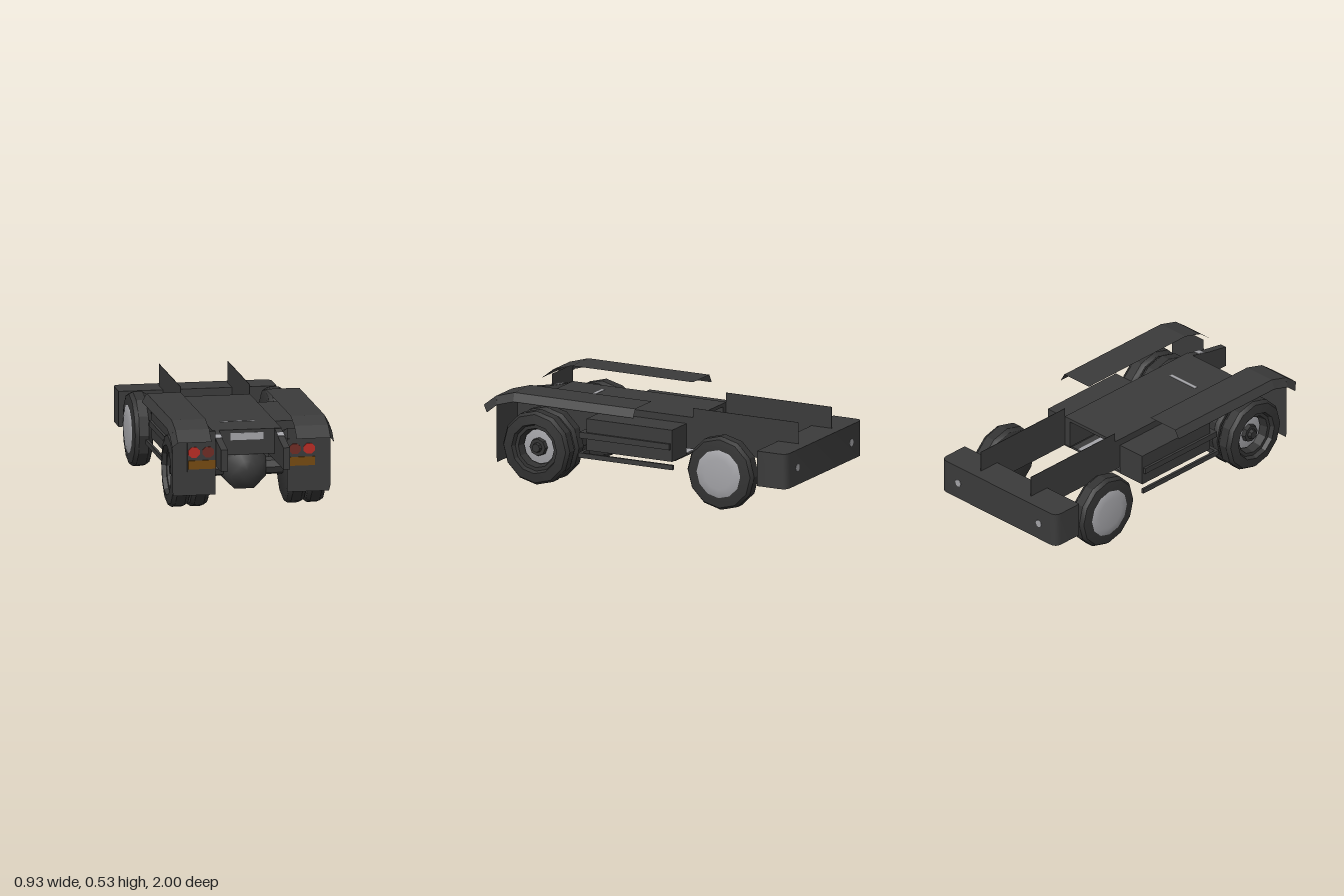
import * as THREE from 'three';
import { toCreasedNormals } from 'three/addons/utils/BufferGeometryUtils.js';

const mat = (name, color, side = THREE.FrontSide) => {
  const m = new THREE.MeshStandardMaterial({ color, side });
  m.name = name;
  return m;
};

export function createModel() {
  const body = mat('dark grey body', 0x3b3b3b);
  const sheet = mat('dark grey sheet', 0x3b3b3b, THREE.DoubleSide);
  const rubber = mat('tyre rubber', 0x333333);
  const metal = mat('light metal', 0xa4a4a8);
  const red = mat('red lamp', 0xb82c24);
  const dimRed = mat('dim red lamp', 0x6e2c24);
  const amber = mat('amber lamp', 0x75490f);

  const model = new THREE.Group();
  model.name = 'truckChassis';

  const add = (parent, name, geo, material, x = 0, y = 0, z = 0) => {
    const m = new THREE.Mesh(geo, material);
    m.name = name;
    m.position.set(x, y, z);
    parent.add(m);
    return m;
  };
  // box given by its limits
  const box = (parent, name, material, x0, x1, y0, y1, z0, z1) =>
    add(parent, name, new THREE.BoxGeometry(x1 - x0, y1 - y0, z1 - z0), material,
      (x0 + x1) / 2, (y0 + y1) / 2, (z0 + z1) / 2);
  // lathe around the x axis; profile pairs are [radius, x] going outwards
  const turned = (profile, sides) => {
    const g = new THREE.LatheGeometry(profile.map(p => new THREE.Vector2(...p)), sides);
    g.rotateZ(-Math.PI / 2);
    return toCreasedNormals(g, 0.45);
  };
  // side profile in [z, y] extruded across x0..x1
  const sideProfile = (points, x0, x1) => {
    const s = new THREE.Shape(points.map(([z, y]) => new THREE.Vector2(-z, y)));
    const g = new THREE.ExtrudeGeometry(s, { depth: x1 - x0, bevelEnabled: false });
    g.rotateY(Math.PI / 2);
    g.translate(x0, 0, 0);
    return g;
  };

  // deck, floor and rear cross panels
  box(model, 'deck', body, -0.2, 0.2, 0.435, 0.455, -0.26, 0.73);
  box(model, 'underFloor', body, -0.3, 0.3, 0.215, 0.228, -0.2, 0.35);
  box(model, 'floorLining', metal, -0.155, 0.155, 0.228, 0.232, -0.2, 0.34);
  box(model, 'rearPanel', body, -0.16, 0.16, 0.31, 0.45, 0.69, 0.73);
  box(model, 'rearCrossMember', body, -0.16, 0.16, 0.17, 0.31, 0.5, 0.53);
  box(model, 'rearPlate', metal, -0.095, 0.095, 0.395, 0.436, 0.73, 0.733);
  box(model, 'deckStrip', metal, -0.11, 0.09, 0.455, 0.457, 0.475, 0.495);

  // rear axle with its round housing
  add(model, 'axle', turned([[0, -0.3], [0.05, -0.3], [0.05, 0.3], [0, 0.3]], 8), body, 0, 0.22, 0.62);
  const housing = new THREE.SphereGeometry(0.14, 8, 8);
  housing.rotateX(Math.PI / 2);
  housing.rotateZ(Math.PI / 8);
  add(model, 'axleHousing', housing, body, 0, 0.222, 0.62);

  // bumper with rounded front corners
  const w = 0.455, r = 0.045;
  const plan = new THREE.Shape();
  plan.moveTo(-w, -0.81);
  plan.lineTo(-w, -1 + r);
  plan.quadraticCurveTo(-w, -1, -w + r, -1);
  plan.lineTo(w - r, -1);
  plan.quadraticCurveTo(w, -1, w, -1 + r);
  plan.lineTo(w, -0.81);
  const bumper = new THREE.ExtrudeGeometry(plan, { depth: 0.205, bevelEnabled: false, curveSegments: 4 });
  bumper.rotateX(Math.PI / 2);
  add(model, 'bumper', toCreasedNormals(bumper, 0.6), body, 0, 0.385, 0);

  // wheel profiles
  const tyre = [[0, 0], [0.18, 0], [0.2, 0.008], [0.215, 0.03], [0.215, 0.085], [0.2, 0.107],
    [0.145, 0.115]];
  const frontTyre = turned([...tyre, [0, 0.11]], 12);
  const innerTyre = turned([...tyre, [0, 0.115]], 12);
  const outerTyre = turned([...tyre, [0.135, 0.09], [0.115, 0.09], [0.105, 0.04], [0, 0.04]], 12);
  const hubCap = turned([[0.146, 0.112], [0.135, 0.118], [0.09, 0.124], [0, 0.126]], 12);
  const rimDisc = turned([[0.1, 0.043], [0.06, 0.05], [0, 0.05]], 12);
  const hub = turned([[0.055, 0.045], [0.05, 0.075], [0.03, 0.075], [0.025, 0.095], [0, 0.095]], 8);

  // fender: bent cross-section swept along the top line
  const path = [[-0.02, 0.53, 0, 1], [0.76, 0.53, 0.12, 0.99], [0.88, 0.495, 0.4, 0.9], [0.957, 0.435, 0.7, 0.7]];
  const section = [[0.245, 0], [0.44, 0], [0.466, 0.045], [0.466, 0.05]];
  const pos = [], idx = [], n = section.length;
  path.forEach(([z, y, nz, ny], i) => section.forEach(([x, d], j) => {
    pos.push(x, y - ny * d, z - nz * d);
    if (i && j) {
      const a = (i - 1) * n + j - 1, b = i * n + j - 1;
      idx.push(a, b, a + 1, b, b + 1, a + 1);
    }
  }));
  let fender = new THREE.BufferGeometry();
  fender.setAttribute('position', new THREE.Float32BufferAttribute(pos, 3));
  fender.setIndex(idx);
  fender = fender.toNonIndexed();
  fender.computeVertexNormals();

  // mud flap outline
  const flap = new THREE.ShapeGeometry(new THREE.Shape([[0.205, 0.112], [0.448, 0.112], [0.455, 0.14],
    [0.455, 0.48], [0.205, 0.48]].map(p => new THREE.Vector2(...p))));

  for (const s of [1, -1]) {
    const side = new THREE.Group();
    side.name = s > 0 ? 'leftSide' : 'rightSide';
    side.scale.x = s;
    model.add(side);

    // frame rail and thin front frame plate
    add(side, 'frameRail', sideProfile([[1, 0.27], [1, 0.395], [0.86, 0.42], [0.73, 0.453], [-0.26, 0.453],
      [-0.26, 0.27]], 0.16, 0.199), body);
    box(side, 'frontFramePlate', body, 0.197, 0.2, 0.27, 0.51, -0.94, -0.26);
    const patch = box(side, 'railPatch', metal, 0.16, 0.2, 0.435, 0.438, 0.78, 0.83);
    patch.rotation.x = 0.25;

    // side box with ridge and lower guard rail
    box(side, 'sideBox', body, 0.2, 0.375, 0.23, 0.415, -0.22, 0.33);
    box(side, 'sideBoxRidge', body, 0.2, 0.39, 0.3, 0.335, -0.21, 0.37);
    box(side, 'guardRail', body, 0.39, 0.405, 0.19, 0.218, -0.24, 0.37);
    box(side, 'guardRailBracket', body, 0.3, 0.39, 0.19, 0.218, 0.35, 0.37);

    // wheels
    add(side, 'frontTyre', frontTyre, rubber, 0.335, 0.217, -0.56);
    add(side, 'frontHubCap', hubCap, metal, 0.335, 0.217, -0.56);
    add(side, 'rearInnerTyre', innerTyre, rubber, 0.222, 0.217, 0.63);
    add(side, 'rearOuterTyre', outerTyre, rubber, 0.332, 0.217, 0.63);
    add(side, 'rearRim', rimDisc, metal, 0.332, 0.217, 0.63);
    add(side, 'rearHub', hub, rubber, 0.332, 0.217, 0.63);

    // fender, mud flap and lamps
    add(side, 'fender', fender, sheet);
    add(side, 'mudFlap', flap, sheet, 0, 0, 0.866);
    box(side, 'lampPanel', body, 0.205, 0.37, 0.25, 0.42, 0.866, 0.871);
    for (const [name, m, x] of [['brakeLamp', red, 0.332], ['tailLamp', dimRed, 0.25]]) {
      const lamp = new THREE.CylinderGeometry(0.036, 0.036, 0.008, 8);
      lamp.rotateY(Math.PI / 8);
      lamp.rotateX(Math.PI / 2);
      add(side, name, lamp, m, x, 0.361, 0.874).scale.y = 0.9;
    }
    box(side, 'turnLamp', amber, 0.207, 0.365, 0.264, 0.314, 0.87, 0.877);

    // small lamp on the bumper face
    const spot = new THREE.CylinderGeometry(0.022, 0.022, 0.006, 8);
    spot.rotateX(Math.PI / 2);
    add(side, 'bumperLamp', spot, metal, 0.32, 0.28, -0.999);
  }
  return model;
}
